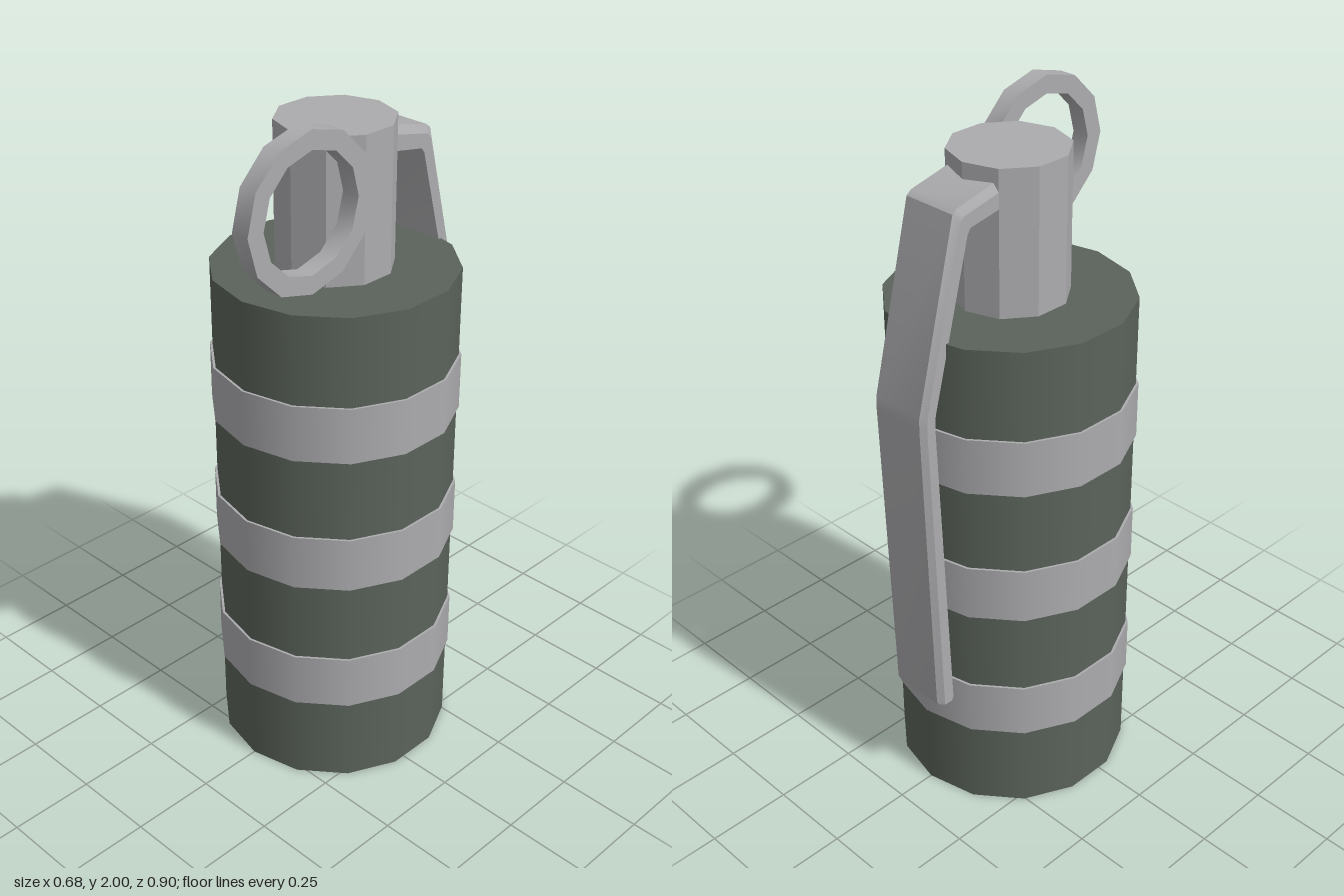
import * as THREE from 'three';
import { toCreasedNormals } from 'three/addons/utils/BufferGeometryUtils.js';

const AXIS_Z = -0.04; // the body and neck sit slightly behind the centre

export function createModel() {
  const model = new THREE.Group();
  const green = new THREE.MeshStandardMaterial({ color: 0x5b635b });
  green.name = 'dullGreen';
  const grey = new THREE.MeshStandardMaterial({ color: 0xacacaf });
  grey.name = 'metalGrey';

  const add = (name, geometry, material) => {
    const mesh = new THREE.Mesh(geometry, material);
    mesh.name = name;
    model.add(mesh);
    return mesh;
  };
  const drum = (name, radius, y0, y1, sides, material) => {
    const mesh = add(name, new THREE.CylinderGeometry(radius, radius, y1 - y0, sides), material);
    mesh.position.set(0, (y0 + y1) / 2, AXIS_Z);
    return mesh;
  };

  // Body with three raised bands
  drum('body', 0.343, 0, 1.51, 14, green);
  [0.265, 0.675, 1.085].forEach((y, i) => drum('band' + (i + 1), 0.35, y, y + 0.165, 14, grey));

  // Faceted neck
  const neck = drum('neck', 0.164, 1.5, 1.92, 10, grey);
  neck.geometry = toCreasedNormals(neck.geometry, 0.3);

  // Pull ring: a rectangular section turned about the x axis
  const [inner, outer, half] = [0.163, 0.215, 0.027];
  const section = [[inner, -half], [outer, -half], [outer, half], [inner, half], [inner, -half]]
    .map(([x, y]) => new THREE.Vector2(x, y));
  const ringGeometry = new THREE.LatheGeometry(section, 12).rotateZ(-Math.PI / 2);
  const ring = add('pullRing', toCreasedNormals(ringGeometry, 0.7), grey);
  ring.position.set(0.163, 1.785, 0.235);

  add('lever', leverGeometry(), grey);
  return model;
}

// Bent strip with chamfered outer edges, swept from the neck down the back
function leverGeometry() {
  // Each row: inner z, inner y, outer z, outer y
  const rows = [
    [-0.14, 1.82, -0.14, 1.89],
    [-0.268, 1.796, -0.3, 1.852],
    [-0.279, 1.782, -0.315, 1.84],
    [-0.402, 1.318, -0.446, 1.32],
    [-0.405, 1.283, -0.447, 1.283],
    [-0.37, 0.365, -0.421, 0.368],
    [-0.376, 0.353, -0.416, 0.353],
  ];
  // Loop across the strip: x, and the fraction from inner to outer face
  const loop = [[-0.097, 0], [0.097, 0], [0.097, 0.65], [0.083, 1], [-0.083, 1], [-0.097, 0.65]];
  const n = loop.length;
  const positions = [];
  for (const [iz, iy, oz, oy] of rows) {
    for (const [x, t] of loop) positions.push(x, iy + (oy - iy) * t, iz + (oz - iz) * t);
  }
  const index = [];
  for (let i = 0; i < rows.length - 1; i++) {
    for (let j = 0; j < n; j++) {
      const a = i * n + j, b = i * n + ((j + 1) % n);
      index.push(a, a + n, b, a + n, b + n, b);
    }
  }
  // End caps
  const last = (rows.length - 1) * n;
  for (let j = 1; j < n - 1; j++) {
    index.push(0, j, j + 1, last, last + j + 1, last + j);
  }
  const geometry = new THREE.BufferGeometry();
  geometry.setAttribute('position', new THREE.Float32BufferAttribute(positions, 3));
  geometry.setIndex(index);
  return toCreasedNormals(geometry, 0.5);
}
